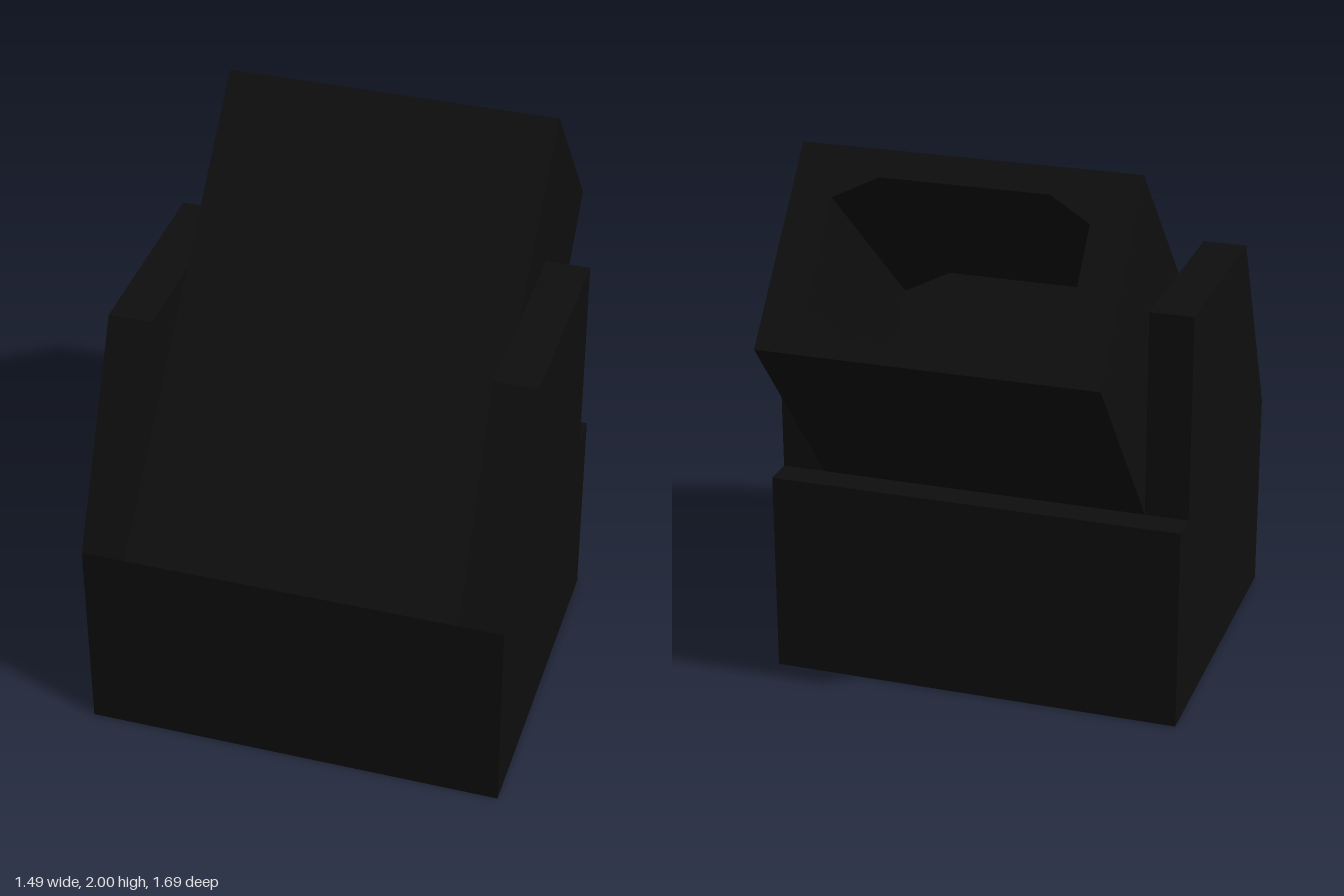
import * as THREE from 'three';

const W = 0.745, INNER = 0.59, DECK = 0.745;

export function createModel() {
  const model = new THREE.Group();
  const black = new THREE.MeshStandardMaterial({ color: 0x0e0e0e });
  black.name = 'matte black';

  const add = (name, geometry) => {
    const mesh = new THREE.Mesh(geometry, black);
    mesh.name = name;
    model.add(mesh);
  };
  const points = (list) => list.map(([x, y]) => new THREE.Vector2(x, y));

  // Base block
  const base = new THREE.BoxGeometry(W * 2, DECK, 1.225);
  base.translate(0, DECK / 2, 0.2375);
  add('base', base);

  // Side cheeks, profile drawn in z and y
  const cheek = new THREE.Shape(points([[0.85, DECK], [0.48, 1.49], [-0.265, 1.49], [-0.265, DECK]]));
  for (const [name, x] of [['leftCheek', W], ['rightCheek', -INNER]]) {
    const g = new THREE.ExtrudeGeometry(cheek, { depth: W - INNER, bevelEnabled: false });
    g.rotateY(-Math.PI / 2);
    g.translate(x, 0, 0);
    add(name, g);
  }

  // Tilted block: its upper back face carries an eight-sided socket
  const top = new THREE.Vector3(0, 2, -0.37);
  const low = new THREE.Vector3(0, 1.43, -0.845);
  const up = top.clone().sub(low);
  const height = up.length();
  up.normalize();
  const side = new THREE.Vector3(-1, 0, 0);
  const out = side.clone().cross(up);
  const depth = 0.9;

  const face = new THREE.Shape(points([[-INNER, 0], [INNER, 0], [INNER, height], [-INNER, height]]));
  const octagon = points([
    [-0.295, 0.07], [0.295, 0.07], [0.445, 0.165], [0.445, 0.555],
    [0.295, 0.642], [-0.295, 0.642], [-0.445, 0.555], [-0.445, 0.165],
  ]);
  face.holes.push(new THREE.Path(octagon));

  const frame = new THREE.Matrix4().makeBasis(side, up, out)
    .setPosition(low.clone().addScaledVector(out, -depth));
  const block = new THREE.ExtrudeGeometry(face, { depth, bevelEnabled: false });
  const pos = block.attributes.position;
  const v = new THREE.Vector3();
  for (let i = 0; i < pos.count; i++) {
    v.fromBufferAttribute(pos, i);
    const { x, y, z } = v;
    v.applyMatrix4(frame);
    // Stretch the outer far corners down to the base
    if (z < 0.001 && Math.abs(x) > INNER - 0.01) v.set(-x, DECK, y > height / 2 ? 0.85 : -0.265);
    pos.setXYZ(i, v.x, v.y, v.z);
  }
  block.computeVertexNormals();
  add('tiltedBlock', block);

  // Floor of the socket
  const floor = new THREE.ShapeGeometry(new THREE.Shape(octagon));
  floor.applyMatrix4(frame);
  add('socketFloor', floor);

  return model;
}
